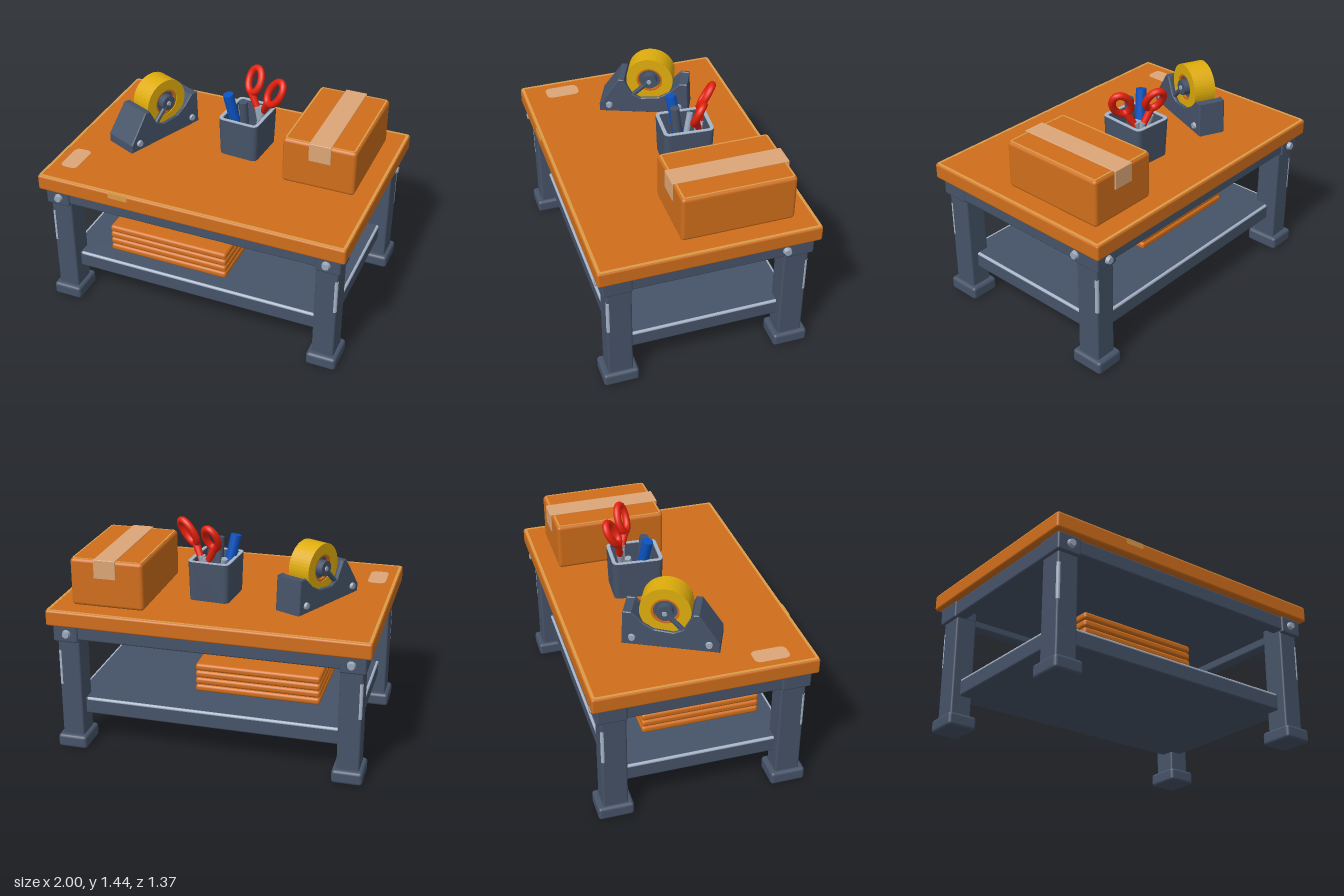
import * as THREE from 'three';
import { RoundedBoxGeometry } from 'three/addons/geometries/RoundedBoxGeometry.js';

const mat = (name, color) => {
  const m = new THREE.MeshStandardMaterial({ color });
  m.name = name;
  return m;
};

export function createModel() {
  const wood = mat('orange wood', 0xd06e1b);
  const woodEdge = mat('worn wood edge', 0xdd9a48);
  const slate = mat('slate paint', 0x465368);
  const slateEdge = mat('worn slate edge', 0xa6b4c8);
  const steel = mat('steel', 0x9aa8bb);
  const tan = mat('packing tape', 0xdca677);
  const yellow = mat('yellow tape', 0xdeac0c);
  const red = mat('red plastic', 0xe6200c);
  const blue = mat('blue plastic', 0x0b53c2);

  const model = new THREE.Group();
  model.name = 'workbench';

  const add = (parent, name, geometry, material, x = 0, y = 0, z = 0) => {
    const m = new THREE.Mesh(geometry, material);
    m.name = name;
    m.position.set(x, y, z);
    parent.add(m);
    return m;
  };
  // Rounded box given by its limits on each axis
  const block = (parent, name, material, [x0, x1], [y0, y1], [z0, z1], r = 0.012) =>
    add(parent, name, new RoundedBoxGeometry(x1 - x0, y1 - y0, z1 - z0, 2, r), material,
      (x0 + x1) / 2, (y0 + y1) / 2, (z0 + z1) / 2);
  const span = (s, a, b) => (s > 0 ? [a, b] : [-b, -a]);
  const roundRect = (Kind, w, h, r) => {
    const s = new Kind(), x = w / 2, y = h / 2;
    s.moveTo(-x + r, -y);
    s.lineTo(x - r, -y); s.quadraticCurveTo(x, -y, x, -y + r);
    s.lineTo(x, y - r); s.quadraticCurveTo(x, y, x - r, y);
    s.lineTo(-x + r, y); s.quadraticCurveTo(-x, y, -x, y - r);
    s.lineTo(-x, -y + r); s.quadraticCurveTo(-x, -y, -x + r, -y);
    return s;
  };
  const plate = (w, h, r) => new THREE.ExtrudeGeometry(roundRect(THREE.Shape, w, h, r), { depth: 0.004, bevelEnabled: false });
  // Upright rectangular tube or thin flat frame
  const frame = (w, d, t, r, h) => {
    const s = roundRect(THREE.Shape, w, d, r);
    s.holes.push(roundRect(THREE.Path, w - 2 * t, d - 2 * t, Math.max(r - t, 0.005)));
    return new THREE.ExtrudeGeometry(s, { depth: h, bevelEnabled: false, curveSegments: 6 }).rotateX(-Math.PI / 2);
  };
  // Domed bolt head facing along an axis
  const bolt = (parent, r, pos, axis) => {
    const g = new THREE.CylinderGeometry(r * 0.75, r, 0.024, 14);
    const m = add(parent, 'bolt', g, steel, ...pos);
    m.quaternion.setFromUnitVectors(new THREE.Vector3(0, 1, 0), new THREE.Vector3(...axis));
  };
  const rod = (parent, name, material, a, b, r, r2 = r) => {
    const p = new THREE.Vector3(...a), q = new THREE.Vector3(...b);
    const m = add(parent, name, new THREE.CylinderGeometry(r2, r, p.distanceTo(q), 14), material);
    m.position.copy(p).lerp(q, 0.5);
    m.quaternion.setFromUnitVectors(new THREE.Vector3(0, 1, 0), q.sub(p).normalize());
  };

  // Table top with worn rim
  block(model, 'tableTop', wood, [-1, 1], [0.84, 0.942], [-0.685, 0.685], 0.014);
  add(model, 'tableTopRim', frame(1.988, 1.358, 0.018, 0.02, 0.004), woodEdge, 0, 0.939, 0);
  add(model, 'tapePatch', plate(0.115, 0.22, 0.04).rotateX(-Math.PI / 2), tan, -0.872, 0.9395, 0.42);
  add(model, 'edgeChip', plate(0.13, 0.036, 0.014), woodEdge, -0.445, 0.922, 0.6825);

  // Apron, underside panel and shelf
  block(model, 'undersidePanel', slate, [-0.93, 0.93], [0.79, 0.842], [-0.61, 0.61], 0.005);
  block(model, 'shelf', slate, [-0.895, 0.895], [0.212, 0.32], [-0.565, 0.565]);
  for (const s of [-1, 1]) {
    block(model, 'longApron', slate, [-0.95, 0.95], [0.745, 0.842], span(s, 0.56, 0.64));
    block(model, 'sideApron', slate, span(s, 0.88, 0.96), [0.735, 0.842], [-0.64, 0.64]);
    rod(model, 'shelfLongEdge', slateEdge, [-0.8, 0.3105, s * 0.5555], [0.8, 0.3105, s * 0.5555], 0.011);
    rod(model, 'shelfSideEdge', slateEdge, [s * 0.8855, 0.3105, -0.47], [s * 0.8855, 0.3105, 0.47], 0.011);
  }

  // Legs, feet and corner brackets
  for (const sx of [-1, 1]) for (const sz of [-1, 1]) {
    block(model, 'leg', slate, span(sx, 0.81, 0.95), [0.05, 0.8], span(sz, 0.472, 0.628));
    block(model, 'foot', slate, span(sx, 0.785, 0.975), [0, 0.087], span(sz, 0.44, 0.662), 0.02);
    block(model, 'cornerBracket', slate, span(sx, 0.81, 0.968), [0.728, 0.843], span(sz, 0.47, 0.652));
    rod(model, 'legWear', slateEdge, [sx * 0.938, 0.43, sz * 0.616], [sx * 0.938, 0.66, sz * 0.616], 0.0135);
    bolt(model, 0.028, [sx * 0.88, 0.785, sz * 0.662], [0, 0, sz]);
  }
  bolt(model, 0.028, [0.977, 0.785, -0.48], [1, 0, 0]);

  // Stacked boards on the shelf
  for (let i = 0; i < 4; i++) {
    const y = 0.32 + i * 0.048;
    block(model, 'board', wood, [-0.638, 0.17], [y, y + 0.047], [-0.295, 0.462], 0.018);
  }

  // Parcel with tape over the lid
  block(model, 'parcel', wood, [0.41, 0.875], [0.942, 1.245], [-0.555, 0.15], 0.022);
  add(model, 'parcelRim', frame(0.442, 0.682, 0.011, 0.02, 0.004), woodEdge, 0.6425, 1.242, -0.2025);
  block(model, 'parcelTapeTop', tan, [0.58, 0.72], [1.242, 1.251], [-0.562, 0.157], 0.004);
  block(model, 'parcelTapeFront', tan, [0.58, 0.72], [1.13, 1.25], [0.149, 0.157], 0.0035);
  block(model, 'parcelTapeBack', tan, [0.58, 0.72], [1.13, 1.25], [-0.565, -0.555], 0.0035);

  // Pen cup
  const cup = new THREE.Group();
  cup.name = 'penCup';
  cup.position.set(0.07, 0.942, -0.14);
  cup.rotation.y = -0.07;
  model.add(cup);
  const wall = frame(0.27, 0.32, 0.028, 0.04, 0.25);
  const p = wall.attributes.position;
  for (let i = 0; i < p.count; i++) {
    const k = 0.95 + 0.2 * p.getY(i);
    p.setXYZ(i, p.getX(i) * k, p.getY(i), p.getZ(i) * k);
  }
  wall.computeVertexNormals();
  add(cup, 'cupWall', wall, slate);
  add(cup, 'cupRim', frame(0.268, 0.318, 0.022, 0.04, 0.006), slateEdge, 0, 0.248, 0);
  block(cup, 'cupFloor', slate, [-0.11, 0.11], [0.005, 0.04], [-0.135, 0.135], 0.01);

  // Pens
  rod(model, 'bluePen', blue, [0.02, 0.99, -0.13], [-0.043, 1.325, -0.085], 0.034);
  rod(model, 'greyPen', slate, [0.07, 0.98, -0.11], [0.063, 1.3, -0.077], 0.029);
  rod(model, 'steelPen', steel, [0.04, 0.98, -0.15], [0.0, 1.2, -0.2], 0.02);

  // Scissors: each loop is an ellipse with its own long and short half-axes
  const scissors = new THREE.Group();
  scissors.name = 'scissors';
  model.add(scissors);
  const loops = [
    { centre: [0.06, 1.35, -0.28], long: [0.01, 0.07, -0.035], short: [0.046, 0, 0.025], foot: [0.105, 1.17, -0.225] },
    { centre: [0.237, 1.347, -0.172], long: [0.045, 0.073, -0.005], short: [0.035, -0.02, 0.035], foot: [0.145, 1.18, -0.205] },
  ];
  for (const { centre, long, short, foot } of loops) {
    const pts = [];
    for (let i = 0; i < 16; i++) {
      const a = (i / 16) * Math.PI * 2;
      pts.push(new THREE.Vector3(...centre).addScaledVector(new THREE.Vector3(...long), Math.sin(a))
        .addScaledVector(new THREE.Vector3(...short), Math.cos(a)));
    }
    add(scissors, 'handleLoop', new THREE.TubeGeometry(new THREE.CatmullRomCurve3(pts, true), 40, 0.023, 10, true), red);
    rod(scissors, 'handleShank', red, foot, centre.map((c, i) => c - long[i]), 0.02, 0.025);
    rod(scissors, 'blade', steel, [0.25 - foot[0], 0.99, -0.2], [foot[0], foot[1] + 0.03, foot[2]], 0.012, 0.025);
  }

  // Tape dispenser, facing local +z
  const dispenser = new THREE.Group();
  dispenser.name = 'tapeDispenser';
  dispenser.position.set(-0.553, 0.942, -0.08);
  dispenser.rotation.y = -0.422;
  model.add(dispenser);
  const taper = (z) => 1 + 0.45 * z;
  const sideways = (name, pts, width, x) => {
    const g = new THREE.ExtrudeGeometry(new THREE.Shape(pts.map(([a, b]) => new THREE.Vector2(a, b))),
      { depth: width - 0.012, bevelEnabled: true, bevelSize: 0.005, bevelThickness: 0.006, bevelSegments: 1 });
    g.rotateY(-Math.PI / 2).translate(x + width / 2 - 0.006, 0.004, 0);
    const q = g.attributes.position;
    for (let i = 0; i < q.count; i++) q.setX(i, q.getX(i) * taper(q.getZ(i)));
    g.computeVertexNormals();
    add(dispenser, name, g, slate);
  };
  sideways('dispenserBody', [[-0.29, 0], [0.29, 0], [0.29, 0.05], [0.165, 0.235], [0.135, 0.235],
    [0.085, 0.08], [-0.14, 0.08], [-0.235, 0.21], [-0.28, 0.21]], 0.19, 0);
  const hubY = 0.235, hubZ = -0.035;
  for (const s of [-1, 1]) {
    sideways('dispenserCheek', [[-0.29, 0], [0.29, 0], [0.29, 0.05], [0.165, 0.235], [0.135, 0.235],
      [0.08, 0.13], [0.02, 0.1], [-0.1, 0.11], [-0.17, 0.15], [-0.235, 0.215], [-0.28, 0.215]], 0.024, s * 0.09);
    rod(dispenser, 'hubArm', slate, [s * 0.088, 0.1, 0.1], [s * 0.084, hubY, hubZ], 0.015);
    for (const z of [-0.23, 0.23]) bolt(dispenser, 0.025, [s * 0.105 * taper(z), 0.052, z], [s, 0, 0]);
    rod(dispenser, 'hubCap', steel, [s * 0.09, hubY, hubZ], [s * 0.104, hubY, hubZ], 0.018, 0.014);
  }
  rod(dispenser, 'hub', slate, [-0.097, hubY, hubZ], [0.097, hubY, hubZ], 0.05);
  // Ring of rectangular section around the local x axis
  const ring = (name, r0, r1, h, material) => {
    const s = new THREE.Shape().absarc(0, 0, r1, 0, Math.PI * 2, false);
    s.holes.push(new THREE.Path().absarc(0, 0, r0, 0, Math.PI * 2, true));
    const g = new THREE.ExtrudeGeometry(s, { depth: h, bevelEnabled: false, curveSegments: 24 });
    add(dispenser, name, g.translate(0, 0, -h / 2).rotateY(Math.PI / 2), material, 0, hubY, hubZ);
  };
  ring('tapeRoll', 0.085, 0.153, 0.146, yellow);
  ring('rollCore', 0.072, 0.086, 0.138, wood);
  ring('rollSpindle', 0.03, 0.073, 0.1, slate);

  return model;
}
